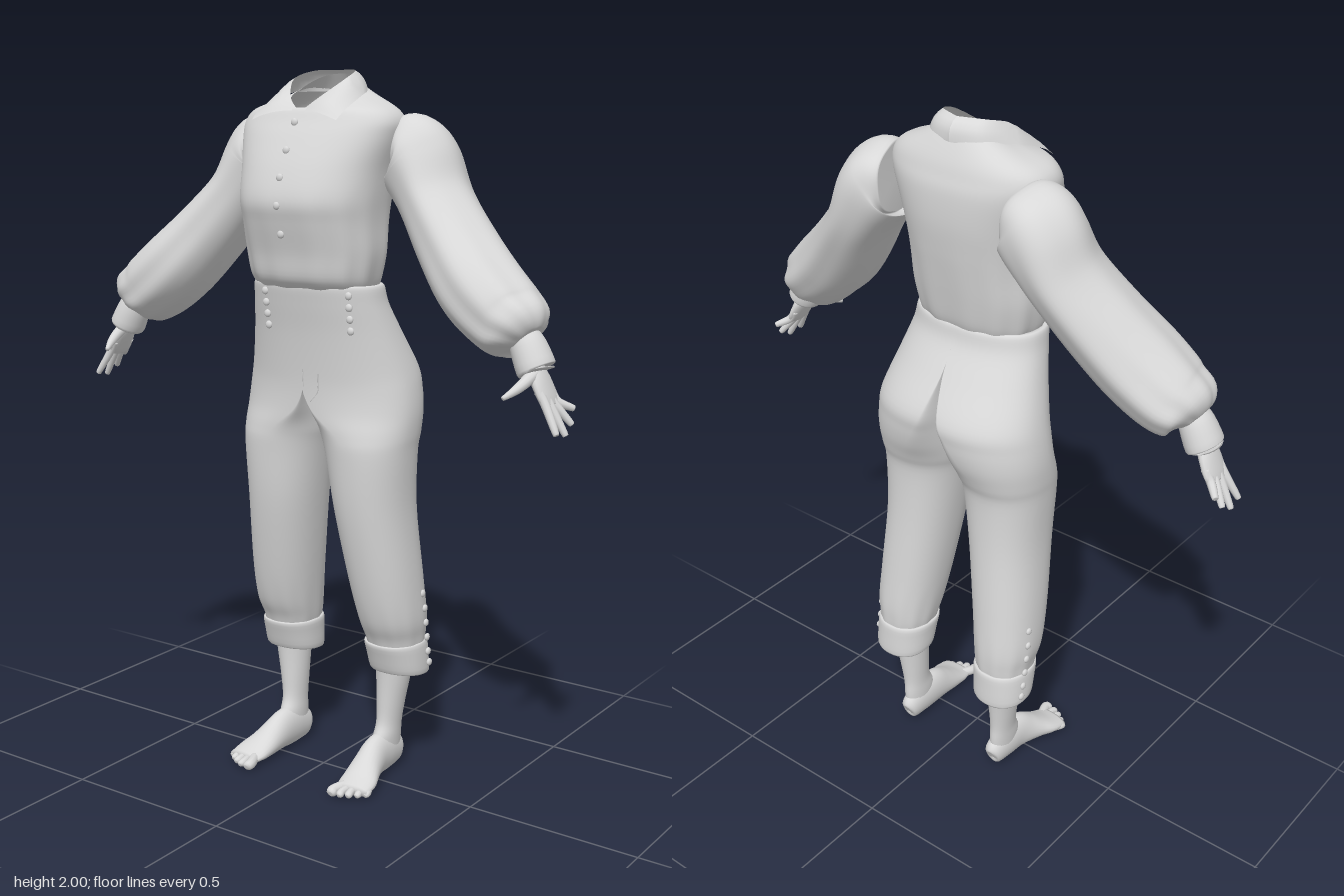
import * as THREE from 'three';

const cloth = new THREE.MeshStandardMaterial({ color: 0xd8d8d8, side: THREE.DoubleSide });
cloth.name = 'pale grey';

// Catmull-Rom interpolation of rows of numbers, k steps per span
function smoothRows(rows, k) {
  const out = [], last = rows.length - 1;
  for (let i = 0; i < last; i++) {
    const [p, a, b, n] = [rows[Math.max(i - 1, 0)], rows[i], rows[i + 1], rows[Math.min(i + 2, last)]];
    for (let s = 0; s < k; s++) {
      const t = s / k;
      out.push(a.map((v, c) => {
        const cubic = 3 * (v - b[c]) + n[c] - p[c];
        const square = 2 * p[c] - 5 * v + 4 * b[c] - n[c];
        return v + 0.5 * t * (b[c] - p[c] + t * (square + t * cubic));
      }));
    }
  }
  out.push(rows[last]);
  return out;
}

// Skin a list of rings (equal point counts) into a smooth surface
function skin(rings, closed = true) {
  const n = rings[0].length, pos = [], idx = [];
  rings.forEach(r => r.forEach(p => pos.push(p.x, p.y, p.z)));
  for (let i = 0; i < rings.length - 1; i++) {
    for (let j = 0; j < (closed ? n : n - 1); j++) {
      const a = i * n + j, b = i * n + (j + 1) % n;
      idx.push(a, b, b + n, a, b + n, a + n);
    }
  }
  const g = new THREE.BufferGeometry();
  g.setAttribute('position', new THREE.Float32BufferAttribute(pos, 3));
  g.setIndex(idx);
  g.computeVertexNormals();
  return g;
}

const power = (v, e) => Math.sign(v) * Math.abs(v) ** e;

// Level rings, rows bottom to top: [y, xMin, xMax, zFront, zBack, tilt]
function levelLoft(rows, { n = 40, k = 5, exp = 2.2, fold = () => 1 } = {}) {
  const rs = smoothRows(rows, k);
  return skin(rs.map(([y, x0, x1, zf, zb, tilt = 0], i) => Array.from({ length: n }, (_, j) => {
    const a = j / n * Math.PI * 2, f = fold(a, i / (rs.length - 1));
    return new THREE.Vector3((x0 + x1) / 2 + (x1 - x0) / 2 * f * power(Math.sin(a), 2 / exp),
      y + tilt * Math.cos(a), (zf + zb) / 2 + (zf - zb) / 2 * f * power(Math.cos(a), 2 / exp));
  })));
}

// Half of the trousers: round leg rings that blend into half of the hips.
// Rows: [y, xInner, xOuter, zFront, zBack, hip blend in front, hip blend behind]
function trouserHalf(rows, s, n = 56) {
  const g = skin(smoothRows(rows, 5).map(([y, x0, x1, zf, zb, wf, wb]) => Array.from({ length: n }, (_, j) => {
    const a = s * j / n * Math.PI * 2, w = Math.cos(a) > 0 ? wf : wb;
    const gather = 1 + 0.1 * Math.max(0, 0.55 - y) * Math.cos(11 * a);
    const sx = power(Math.sin(a) * s, 2 / 2.2);
    const leg = (x0 + x1) / 2 + (x1 - x0) / 2 * gather * sx, hip = x1 * Math.max(0, sx);
    return new THREE.Vector3(s * Math.max(0, leg + (hip - leg) * w), y,
      (zf + zb) / 2 + (zf - zb) / 2 * gather * power(Math.cos(a), 2 / 2.2));
  })));
  // Square the normals at the middle so both halves shade as one
  const p = g.attributes.position, m = g.attributes.normal, v = new THREE.Vector3();
  for (let i = 0; i < p.count; i++) {
    if (Math.abs(p.getX(i)) < 1e-4) {
      v.set(0, m.getY(i), m.getZ(i)).normalize();
      m.setXYZ(i, v.x, v.y, v.z);
    }
  }
  return g;
}

// Rings square to a path, rows: [x, y, z, radius along ref, other radius]
function pathLoft(rows, { n = 12, k = 4, ref = new THREE.Vector3(0, 0, 1), fold = () => 1, cap = true } = {}) {
  const rs = smoothRows(rows, k);
  const at = i => new THREE.Vector3(...rs[Math.min(Math.max(i, 0), rs.length - 1)].slice(0, 3));
  const rings = rs.map((r, i) => {
    const T = at(i + 1).sub(at(i - 1)).normalize();
    const A = ref.clone().addScaledVector(T, -ref.dot(T)).normalize();
    const B = T.clone().cross(A);
    return Array.from({ length: n }, (_, j) => {
      const a = j / n * Math.PI * 2, f = fold(a, i / (rs.length - 1));
      return at(i).addScaledVector(A, r[3] * f * Math.cos(a)).addScaledVector(B, r[4] * f * Math.sin(a));
    });
  });
  if (cap) {
    rings.unshift(rings[0].map(() => at(0)));
    rings.push(rings[0].map(() => at(rs.length)));
  }
  return skin(rings);
}

// Depth of the front surface of a level loft at (x, y)
function frontZ(rows, x, y, exp) {
  const i = Math.max(0, rows.findIndex(r => r[0] >= y) - 1), a = rows[i], b = rows[i + 1];
  const r = a.map((v, c) => v + (b[c] - v) * (y - a[0]) / (b[0] - a[0]));
  const u = Math.abs((x - (r[1] + r[2]) / 2) / ((r[2] - r[1]) / 2));
  return (r[3] + r[4]) / 2 + (r[3] - r[4]) / 2 * Math.max(0, 1 - u ** exp) ** (1 / exp);
}

export function createModel() {
  const model = new THREE.Group();
  model.name = 'clothedFigure';
  const add = (name, geometry) => {
    const m = new THREE.Mesh(geometry, cloth);
    m.name = name;
    model.add(m);
    return m;
  };
  const button = (name, x, y, z, sideways) => {
    const m = add(name, new THREE.SphereGeometry(0.011, 12, 8));
    m.position.set(x, y, z);
    m.scale.set(sideways ? 0.6 : 1, 1, sideways ? 1 : 0.6);
  };

  // Blouse body with an open, tilted neckline
  const blouse = [
    [1.415, 0.17, 0.13, -0.085, 0], [1.45, 0.185, 0.165, -0.1, 0], [1.52, 0.198, 0.18, -0.115, 0],
    [1.6, 0.2, 0.203, -0.13, 0], [1.66, 0.205, 0.215, -0.14, 0], [1.74, 0.215, 0.192, -0.15, 0],
    [1.82, 0.235, 0.155, -0.15, 0], [1.865, 0.238, 0.13, -0.14, 0], [1.898, 0.21, 0.115, -0.128, -0.005],
    [1.925, 0.14, 0.105, -0.105, -0.025], [1.942, 0.086, 0.09, -0.08, -0.048]].map(([y, w, ...r]) => [y, -w, w, ...r]);
  add('blouseBody', levelLoft(blouse, {
    n: 72, exp: 2.4,
    fold: (a, t) => 1 + 0.018 * Math.max(0, 1 - t * 2.2) * Math.cos(13 * a + 1),
  }));
  for (const y of [1.862, 1.79, 1.72, 1.648, 1.572]) button('blouseButton', 0, y, frontZ(blouse, 0, y, 2.4) + 0.001);

  // Trousers with a fitted high waist
  const trousers = [
    [0.385, 0.108, 0.262, -0.02, -0.185, 0, 0], [0.42, 0.1, 0.266, -0.008, -0.188, 0, 0],
    [0.48, 0.09, 0.274, 0.02, -0.188, 0, 0], [0.6, 0.072, 0.27, 0.05, -0.178, 0, 0],
    [0.8, 0.043, 0.259, 0.085, -0.163, 0, 0], [0.96, 0.018, 0.265, 0.099, -0.162, 0, 0],
    [1.02, 0.004, 0.27, 0.1, -0.178, 0.2, 0.05], [1.08, 0, 0.271, 0.1, -0.2, 0.75, 0.3],
    [1.14, 0, 0.265, 0.102, -0.212, 1, 0.55], [1.2, 0, 0.253, 0.107, -0.212, 1, 0.75],
    [1.3, 0, 0.226, 0.12, -0.155, 1, 0.97], [1.38, 0, 0.206, 0.135, -0.108, 1, 1],
    [1.43, 0, 0.197, 0.143, -0.095, 1, 1], [1.432, 0, 0.18, 0.13, -0.08, 1, 1]];
  const hips = trousers.map(([y, , x1, zf, zb]) => [y, -x1, x1, zf, zb]);
  for (const x of [-0.105, 0.155]) {
    for (const y of [1.41, 1.378, 1.346, 1.314]) button('waistButton', x, y, frontZ(hips, x, y, 2.2) + 0.003);
  }
  const seam = pts => add('flySeam', new THREE.TubeGeometry(new THREE.CatmullRomCurve3(
    pts.map(([x, y]) => new THREE.Vector3(x, y, frontZ(hips, x, y, 2.2) - 0.001))), 16, 0.002, 5));
  seam([[0.005, 1.2], [0.005, 1.15]]);
  seam([[0.055, 1.19], [0.05, 1.14], [0.025, 1.11]]);

  for (const s of [1, -1]) {
    const side = s > 0 ? 'left' : 'right';
    const level = rows => rows.map(([y, a, b, ...r]) => [y, Math.min(a * s, b * s), Math.max(a * s, b * s), ...r]);
    const path = rows => rows.map(([x, ...r]) => [x * s, ...r]);

    // Trouser half, gathered into a turned cuff
    add(side + 'TrouserHalf', trouserHalf(trousers, s));
    add(side + 'TrouserCuff', levelLoft(level([
      [0.36, 0.125, 0.25, -0.05, -0.175, 0], [0.311, 0.115, 0.26, -0.045, -0.188, 0.008],
      [0.309, 0.103, 0.272, -0.036, -0.197, 0.008], [0.36, 0.099, 0.272, -0.02, -0.196, 0.002],
      [0.398, 0.097, 0.269, -0.008, -0.194, 0], [0.401, 0.108, 0.26, -0.018, -0.184, 0]]), { n: 40, k: 3 }));
    [0.55, 0.505, 0.46, 0.415, 0.37, 0.335].forEach((y, i) =>
      button('hemButton', s * (i < 1 ? 0.27 : 0.274), y, -0.105 - i * 0.007, true));

    // Lower leg, foot and toes
    add(side + 'Shin', levelLoft(level([
      [0.03, 0.14, 0.195, -0.03, -0.136], [0.1, 0.137, 0.2, -0.022, -0.14], [0.15, 0.138, 0.203, -0.042, -0.138],
      [0.22, 0.134, 0.214, -0.045, -0.144], [0.32, 0.128, 0.232, -0.042, -0.155], [0.46, 0.12, 0.245, -0.03, -0.165]]),
    { n: 24, exp: 2 }));
    add(side + 'Foot', pathLoft(path([
      [0.166, 0.045, -0.141, 0.014, 0.022], [0.166, 0.048, -0.132, 0.027, 0.042], [0.167, 0.06, -0.08, 0.034, 0.058],
      [0.168, 0.062, -0.025, 0.037, 0.06], [0.173, 0.05, 0.02, 0.042, 0.048], [0.18, 0.037, 0.06, 0.049, 0.035],
      [0.189, 0.026, 0.1, 0.055, 0.023], [0.193, 0.019, 0.14, 0.05, 0.014]]), { n: 24, ref: new THREE.Vector3(1, 0, 0) }));
    [[0.149, 0.18, 0.015], [0.175, 0.177, 0.011], [0.197, 0.167, 0.011], [0.218, 0.153, 0.01], [0.236, 0.136, 0.01]]
      .forEach(([x, z, r]) => add(side + 'Toe', pathLoft(path([
        [x * 0.6 + 0.075, 0.022, z - 0.06, r, r], [x, 0.019, z - 0.022, r, r],
        [x + 0.002, 0.015, z - 0.006, r, r * 0.9], [x + 0.002, 0.013, z, r * 0.5, r * 0.5]]),
      { n: 10, ref: new THREE.Vector3(1, 0, 0) })));

    // Full sleeve, gathered at the shoulder and drooping over the wrist
    add(side + 'Sleeve', pathLoft(path([
      [0.215, 1.785, -0.065, 0.1, 0.09], [0.24, 1.78, -0.07, 0.117, 0.108], [0.272, 1.745, -0.072, 0.122, 0.108],
      [0.33, 1.655, -0.057, 0.125, 0.09], [0.42, 1.543, -0.02, 0.128, 0.099], [0.51, 1.447, 0.015, 0.132, 0.106],
      [0.592, 1.38, 0.032, 0.122, 0.1], [0.642, 1.354, 0.044, 0.1, 0.083], [0.666, 1.334, 0.047, 0.048, 0.042]]), {
      n: 56, k: 6,
      fold: (a, t) => 1 + 0.026 * Math.cos(5 * a + s * 4 * t) + 0.035 * t * t * Math.cos(9 * a + s * 2) }));
    add(side + 'WristCuff', pathLoft(path([
      [0.65, 1.345, 0.045, 0.04, 0.036], [0.664, 1.316, 0.047, 0.05, 0.046], [0.69, 1.262, 0.05, 0.056, 0.05],
      [0.692, 1.259, 0.05, 0.048, 0.042]]), { n: 24, cap: false, k: 3 }));

    // Hand with spread fingers
    add(side + 'Palm', pathLoft(path([
      [0.66, 1.32, 0.048, 0.03, 0.024], [0.686, 1.27, 0.05, 0.028, 0.02], [0.705, 1.232, 0.052, 0.042, 0.019],
      [0.725, 1.192, 0.05, 0.045, 0.015], [0.735, 1.172, 0.05, 0.036, 0.011]]), { n: 18 }));
    [[0.082, 0.776, 1.108, 0.097], [0.06, 0.78, 1.1, 0.054], [0.038, 0.776, 1.122, 0.014], [0.019, 0.768, 1.158, -0.012]]
      .forEach(([z, tx, ty, tz]) => add(side + 'Finger', pathLoft(path([
        [0.715, 1.21, z, 0.012, 0.012], [0.735, 1.178, z, 0.012, 0.012],
        [tx * 0.9 + 0.0735, ty * 0.9 + 0.1178, tz * 0.9 + z * 0.1, 0.009, 0.009], [tx, ty, tz, 0.005, 0.005]]), { n: 10 })));
    add(side + 'Thumb', pathLoft(path([
      [0.694, 1.256, 0.06, 0.019, 0.017], [0.69, 1.236, 0.1, 0.016, 0.015], [0.68, 1.217, 0.137, 0.012, 0.012],
      [0.664, 1.2, 0.172, 0.006, 0.006]]), { n: 10, ref: new THREE.Vector3(1, 0, 0) }));

    // Pointed collar half, folded over from the neckline
    const inner = smoothRows([[0.006, 1.893, 0.108], [0.045, 1.925, 0.088], [0.085, 1.975, 0.02], [0.068, 1.998, -0.05], [0, 2, -0.08]], 6);
    const outer = smoothRows([[0.138, 1.868, 0.139], [0.14, 1.895, 0.1], [0.13, 1.935, 0.0], [0.084, 1.943, -0.085], [0, 1.943, -0.112]], 6);
    const rows = [0, 0.25, 0.5, 0.75, 1].map(t => inner.map((p, i) => {
      const q = p.map((v, c) => v + (outer[i][c] - v) * t);
      return new THREE.Vector3(q[0] * s, q[1] + 0.03 * t * (1 - t), q[2] + 0.04 * t * (1 - t) * Math.sign(q[2]));
    }));
    add(side + 'Collar', skin(s > 0 ? rows.reverse() : rows, false));
  }
  return model;
}
